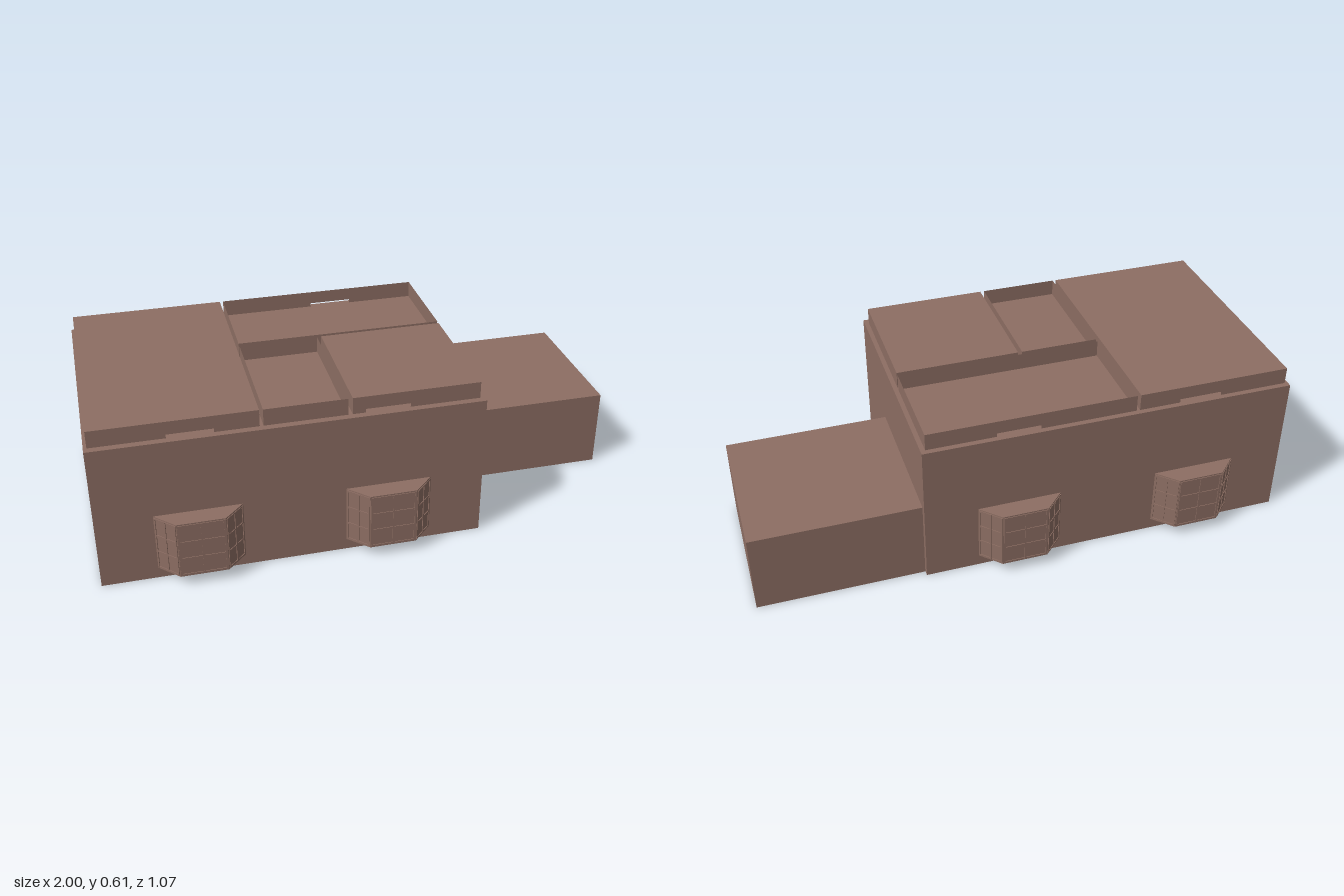
import * as THREE from 'three';

const brown = new THREE.MeshStandardMaterial({ color: 0x8d6e63, side: THREE.DoubleSide });
brown.name = 'brown';

const ROOF = 0.55, TOP = 0.613;

function add(parent, name, geometry, x = 0, y = 0, z = 0) {
  const mesh = new THREE.Mesh(geometry, brown);
  mesh.name = name;
  mesh.position.set(x, y, z);
  parent.add(mesh);
  return mesh;
}

// Thin wall from a to b along one axis; the optional notch [from, to] is a low slot at its foot
function wall(parent, axis, a, b, at, y0, y1, notch) {
  const s = new THREE.Shape();
  s.moveTo(a, y0);
  if (notch) {
    s.lineTo(notch[0], y0);
    s.lineTo(notch[0], y0 + 0.014);
    s.lineTo(notch[1], y0 + 0.014);
    s.lineTo(notch[1], y0);
  }
  s.lineTo(b, y0);
  s.lineTo(b, y1);
  s.lineTo(a, y1);
  const geometry = new THREE.ShapeGeometry(s);
  if (axis === 'z') geometry.rotateY(-Math.PI / 2);
  add(parent, 'wall', geometry, axis === 'z' ? at : 0, 0, axis === 'x' ? at : 0);
}

// Four thin walls with an optional top sheet, open below
function shell(name, [x0, x1], [z0, z1], y0, y1, covered, notches = {}) {
  const g = new THREE.Group();
  g.name = name;
  wall(g, 'x', x0, x1, z1, y0, y1, notches.front);
  wall(g, 'x', x0, x1, z0, y0, y1, notches.back);
  wall(g, 'z', z0, z1, x0, y0, y1, notches.right);
  wall(g, 'z', z0, z1, x1, y0, y1, notches.left);
  if (covered) {
    const sheet = new THREE.PlaneGeometry(x1 - x0, z1 - z0).rotateX(-Math.PI / 2);
    add(g, 'cover', sheet, (x0 + x1) / 2, y1, (z0 + z1) / 2);
  }
  return g;
}

// Glazing bars on one flat pane between plan points p and q
function bars(parent, p, q, columns) {
  const dx = q[0] - p[0], dz = q[1] - p[1], w = Math.hypot(dx, dz);
  const pane = new THREE.Group();
  pane.name = 'glazingBars';
  pane.position.set((p[0] + q[0]) / 2, 0.11, (p[1] + q[1]) / 2);
  pane.rotation.y = -Math.atan2(dz, dx);
  for (let i = 0; i <= columns; i++) {
    const x = (i / columns - 0.5) * (w - 0.012);
    add(pane, 'upright', new THREE.BoxGeometry(0.006, 0.21, 0.006), x);
  }
  for (let i = 0; i <= 3; i++) {
    add(pane, 'crossbar', new THREE.BoxGeometry(w - 0.006, 0.006, 0.005), 0, (i / 3 - 0.5) * 0.204);
  }
  parent.add(pane);
}

// Bay window: trapezium in plan, standing out from the wall toward +z
function bayWindow() {
  const g = new THREE.Group();
  g.name = 'bayWindow';
  const plan = [[-0.155, 0], [-0.085, 0.07], [0.085, 0.07], [0.155, 0]];
  const shape = new THREE.Shape(plan.map(([x, z]) => new THREE.Vector2(x, -z)));
  const body = new THREE.ExtrudeGeometry(shape, { depth: 0.22, bevelEnabled: false });
  add(g, 'bay', body.rotateX(-Math.PI / 2));
  bars(g, plan[0], plan[1], 2);
  bars(g, plan[1], plan[2], 2);
  bars(g, plan[2], plan[3], 2);
  return g;
}

export function createModel() {
  const model = new THREE.Group();
  model.name = 'building';

  // Main block
  add(model, 'mainBlock', new THREE.BoxGeometry(1.387, ROOF, 0.92), -0.3065, ROOF / 2, 0);

  // Low side wing, hollow and open below
  model.add(shell('sideWing', [0.388, 1], [-0.44, 0.13], 0, 0.303, true));

  // Roof: two covered rooms and two open ones
  const notch = [-0.045, 0.115], sideNotch = [-0.73, -0.57];
  model.add(shell('roofSlab', [-0.988, -0.415], [-0.44, 0.435], ROOF, TOP, true,
    { front: sideNotch, back: sideNotch, right: [-0.15, 0.15] }));
  model.add(shell('smallRoofSlab', [-0.092, 0.37], [-0.045, 0.435], ROOF, TOP, true, { front: notch }));
  model.add(shell('backParapet', [-0.402, 0.37], [-0.44, -0.06], ROOF, TOP, false, { back: notch }));
  model.add(shell('frontParapet', [-0.402, -0.108], [-0.045, 0.435], ROOF, TOP, false));

  // Bay windows, two on the front and two on the back
  for (const x of [-0.645, 0.035]) {
    for (const side of [1, -1]) {
      const bay = bayWindow();
      bay.position.set(x, 0.042, 0.46 * side);
      if (side < 0) bay.rotation.y = Math.PI;
      model.add(bay);
    }
  }
  return model;
}
